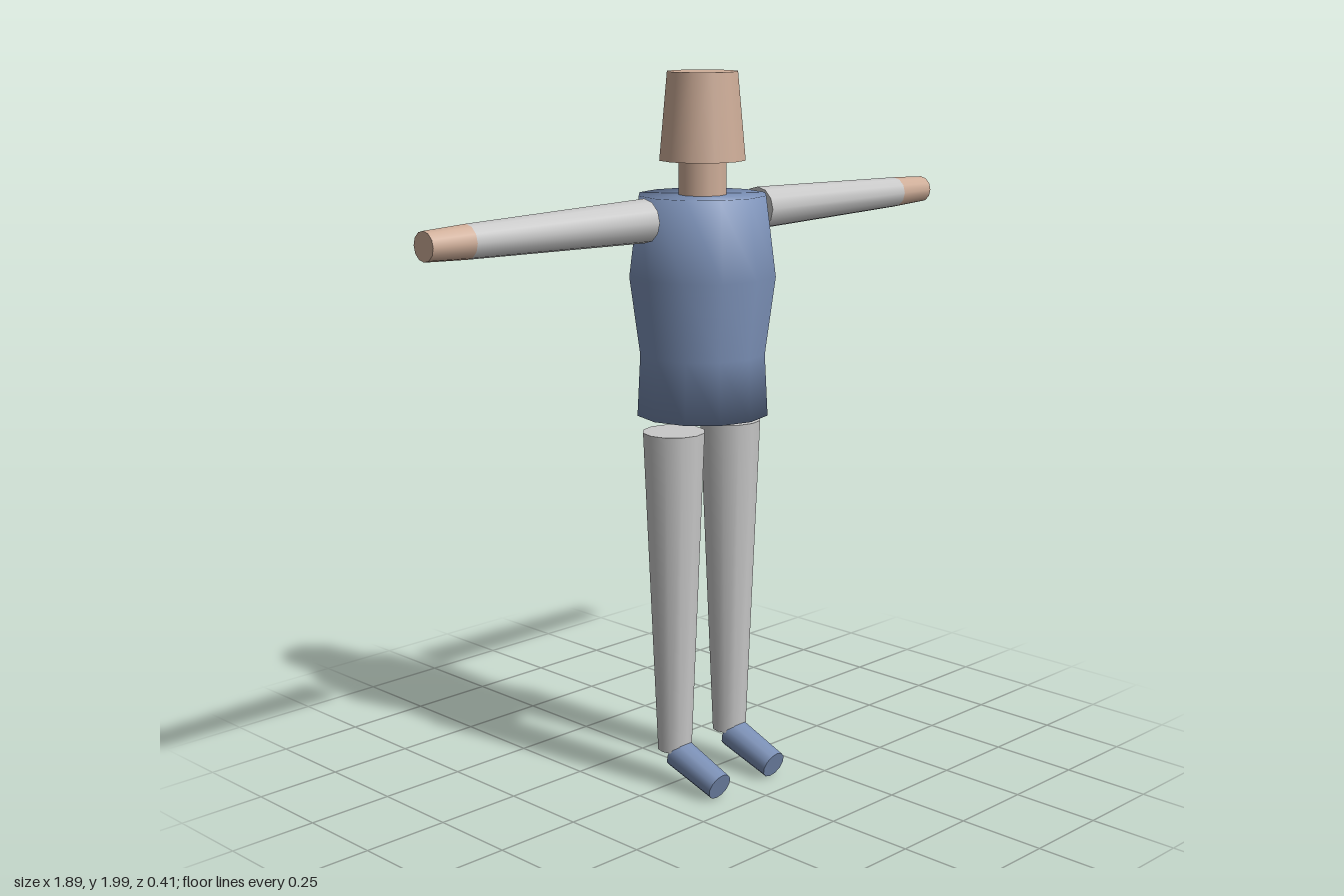
import * as THREE from 'three';

const SIDES = 12;

function material(name, color) {
  const m = new THREE.MeshStandardMaterial({ color });
  m.name = name;
  return m;
}

// Closed tapered tube running from point a (radius ra) to point b (radius rb)
function taper(name, a, b, ra, rb, mat) {
  const start = new THREE.Vector3(...a);
  const end = new THREE.Vector3(...b);
  const dir = end.clone().sub(start);
  const mesh = new THREE.Mesh(new THREE.CylinderGeometry(rb, ra, dir.length(), SIDES), mat);
  mesh.position.copy(start).add(end).multiplyScalar(0.5);
  mesh.quaternion.setFromUnitVectors(new THREE.Vector3(0, 1, 0), dir.normalize());
  mesh.name = name;
  return mesh;
}

export function createModel() {
  const skin = material('skin', 0xcfae99);
  const blue = material('blue cloth', 0x7a8fb5);
  const grey = material('grey cloth', 0xc8c8c8);

  const model = new THREE.Group();
  model.name = 'figure';

  // Torso: waisted profile, closed at both ends
  const profile = [[0, 1.07], [0.185, 1.07], [0.176, 1.24], [0.205, 1.455], [0.177, 1.673], [0, 1.673]];
  const torso = new THREE.Mesh(
    new THREE.LatheGeometry(profile.map(([r, y]) => new THREE.Vector2(r, y)), SIDES), blue);
  torso.name = 'torso';
  model.add(torso);

  // Neck and head
  model.add(taper('neck', [0, 1.673, 0], [0, 1.765, 0], 0.067, 0.067, skin));
  model.add(taper('head', [0, 1.765, 0], [0, 2, 0], 0.12, 0.098, skin));

  // Limbs, mirrored left and right
  for (const [side, s] of [['left', 1], ['right', -1]]) {
    model.add(taper(side + 'Arm', [s * 0.218, 1.618, 0], [s * 0.815, 1.618, 0], 0.059, 0.044, grey));
    model.add(taper(side + 'Hand', [s * 0.815, 1.618, 0], [s * 0.945, 1.618, 0], 0.044, 0.038, skin));
    model.add(taper(side + 'Leg', [s * 0.111, 0.112, 0], [s * 0.111, 1.033, 0], 0.049, 0.087, grey));
    model.add(taper(side + 'Foot', [s * 0.111, 0.102, 0.015], [s * 0.111, 0.045, 0.177], 0.045, 0.04, blue));
  }
  return model;
}
